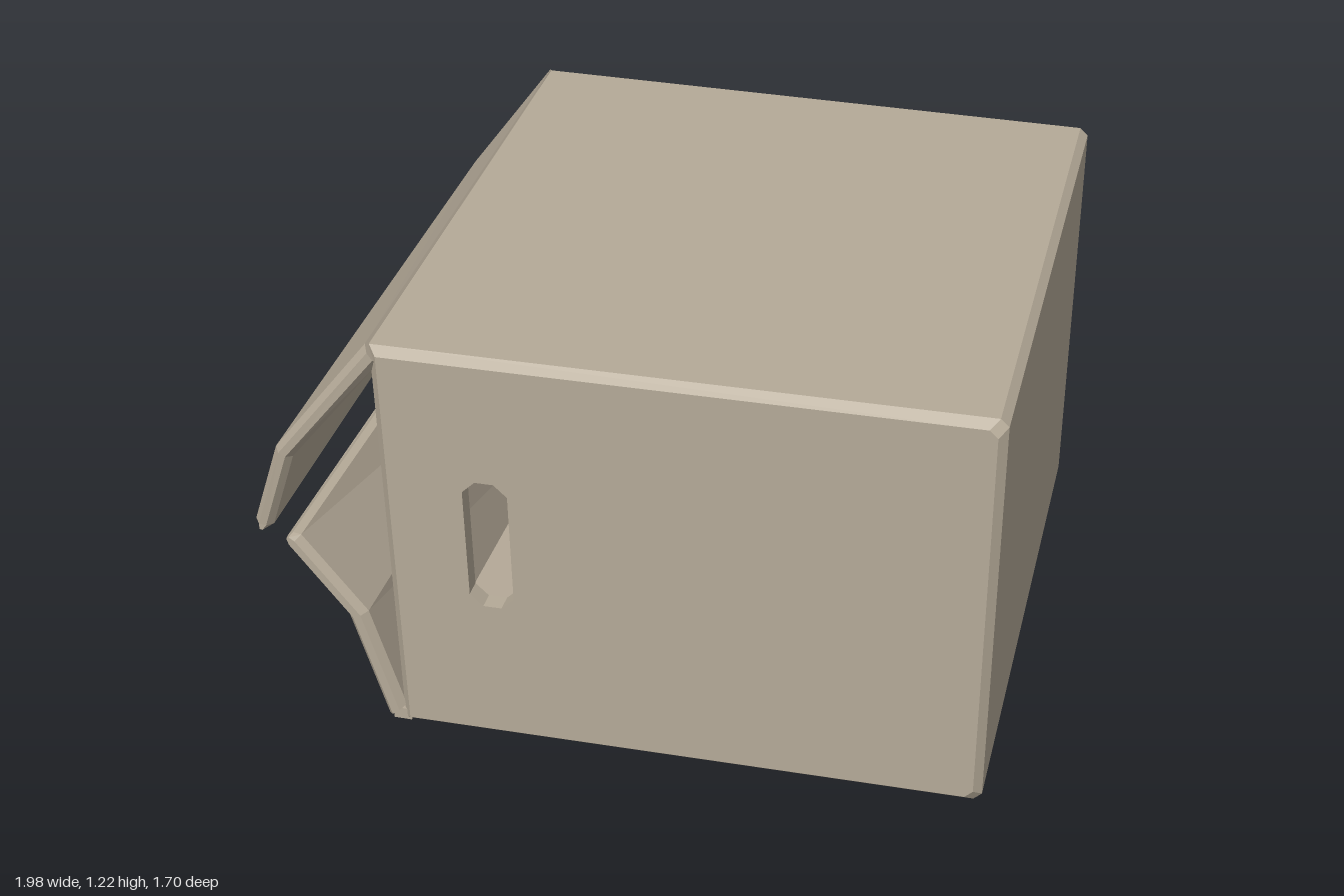
import * as THREE from 'three';

const RIGHT = 0.99, OPEN = -0.61, TOP = 1.22, DEPTH = 0.84, WALL = 0.05, BEVEL = 0.022;
const lerp = THREE.MathUtils.lerp;

const material = new THREE.MeshStandardMaterial({
  color: 0xb5aa98, flatShading: true, side: THREE.DoubleSide,
});

function addMesh(parent, name, geometry) {
  const mesh = new THREE.Mesh(geometry, material);
  mesh.name = name;
  parent.add(mesh);
}

function polygon(points, Type = THREE.Shape) {
  return new Type(points.map(([x, y]) => new THREE.Vector2(x, y)));
}

// Slight hand-made skew: the box widens and sags towards its open end.
function warp(geometry) {
  const p = geometry.attributes.position;
  for (let i = 0; i < p.count; i++) {
    const x = p.getX(i), y = p.getY(i), z = p.getZ(i);
    const t = (RIGHT - x) / (RIGHT - OPEN);
    const front = (z / DEPTH + 1) / 2;
    const bottom = lerp(0.03 - 0.03 * t, 0.032, front);
    const left = lerp(-0.015, 0.015, 1 - y / TOP) * t;
    p.setXYZ(i, x + left, lerp(bottom, TOP, y / TOP),
      z > 0 ? z / DEPTH * (0.815 + 0.03 * t) : z / DEPTH * (0.84 + 0.01 * t));
  }
  geometry.computeVertexNormals();
  return geometry;
}

// Top, bottom and closed end as one C-shaped band.
function shellGeometry() {
  const shape = polygon([
    [OPEN, 0], [RIGHT - BEVEL, 0], [RIGHT, BEVEL], [RIGHT, TOP - BEVEL], [RIGHT - BEVEL, TOP], [OPEN, TOP],
    [OPEN, TOP - WALL], [RIGHT - WALL, TOP - WALL], [RIGHT - WALL, WALL], [OPEN, WALL],
  ]);
  const depth = 2 * (DEPTH - WALL);
  return warp(new THREE.ExtrudeGeometry(shape, { depth, bevelEnabled: false }).translate(0, 0, -depth / 2));
}

// Side wall with a hand slot; its outer rim is chamfered.
function wallGeometry(side) {
  const shape = polygon([
    [OPEN, 0], [RIGHT - BEVEL, 0], [RIGHT, BEVEL], [RIGHT, TOP - BEVEL], [RIGHT - BEVEL, TOP], [OPEN, TOP],
  ]);
  const cx = side > 0 ? -0.328 : -0.308, cy = 0.645, w = 0.06, h = 0.2, c = 0.035;
  shape.holes.push(polygon([
    [cx - w, cy - h + c], [cx - w, cy + h - c], [cx - w + c, cy + h], [cx + w - c, cy + h],
    [cx + w, cy + h - c], [cx + w, cy - h + c], [cx + w - c, cy - h], [cx - w + c, cy - h],
  ], THREE.Path));
  const g = new THREE.ExtrudeGeometry(shape, { depth: WALL, steps: 2, bevelEnabled: false });
  g.translate(0, 0, side > 0 ? DEPTH - WALL : -DEPTH);
  const p = g.attributes.position;
  for (let i = 0; i < p.count; i++) {
    const x = p.getX(i), y = p.getY(i);
    const inSlot = Math.abs(x - cx) < 0.1 && Math.abs(y - cy) < 0.25;
    if (inSlot || Math.abs(p.getZ(i)) < DEPTH - 0.001) continue;
    p.setX(i, x - Math.sign(x - 0.2) * BEVEL);
    p.setY(i, y - Math.sign(y - 0.6) * BEVEL);
  }
  return warp(g);
}

// Bent flap lofted from a front to a back section, chamfered at tip and ends.
// Each section lists outer and inner points from the hinge to the tip.
function flapGeometry(front, back, tipZ, flip) {
  const section = ({ outer, inner }) => {
    const pairs = outer.map((o, k) => [new THREE.Vector2(...o), new THREE.Vector2(...inner[k])]);
    const [o1, i1] = pairs[1], [o2, i2] = pairs[2];
    const dir = o2.clone().add(i2).sub(o1).sub(i1).normalize().multiplyScalar(0.018);
    pairs[2] = [o2.clone().sub(dir), i2.clone().sub(dir)];
    pairs.push([o2.clone().lerp(i2, 0.3), i2.clone().lerp(o2, 0.3)]);
    return pairs;
  };
  const f = section(front), b = section(back), count = f.length, n = 2 * count;
  const rings = [[0, 0.3], [0.012, 0], [0.988, 0], [1, 0.3]];
  const positions = [], index = [];
  for (const [t, inset] of rings) {
    const pairs = f.map(([fo, fi], k) => {
      const o = fo.clone().lerp(b[k][0], t), i = fi.clone().lerp(b[k][1], t);
      return [o.clone().lerp(i, inset), i.clone().lerp(o, inset)];
    });
    const loop = [...pairs.map((q) => q[0]), ...pairs.map((q) => q[1]).reverse()];
    loop.forEach((v, j) => {
      const k = Math.min(j, n - 1 - j);
      positions.push(v.x, v.y, lerp(lerp(0.842, tipZ, Math.min(k, 2) / 2), -0.85, t));
    });
  }
  const quad = (a, c, d, e) => index.push(...(flip ? [a, d, c, a, e, d] : [a, c, d, a, d, e]));
  for (let r = 0; r < rings.length - 1; r++) {
    for (let j = 0; j < n; j++) {
      const m = (j + 1) % n, s = r * n;
      quad(s + j, s + n + j, s + n + m, s + m);
    }
  }
  const last = (rings.length - 1) * n;
  for (let k = 0; k < count - 1; k++) {
    quad(k, k + 1, n - 2 - k, n - 1 - k);
    quad(last + k, last + n - 1 - k, last + n - 2 - k, last + k + 1);
  }
  const g = new THREE.BufferGeometry();
  g.setAttribute('position', new THREE.Float32BufferAttribute(positions, 3));
  g.setIndex(index);
  const flat = g.toNonIndexed();
  flat.computeVertexNormals();
  return flat;
}

export function createModel() {
  const box = new THREE.Group();
  box.name = 'openBox';
  addMesh(box, 'shell', shellGeometry());
  addMesh(box, 'frontWall', wallGeometry(1));
  addMesh(box, 'backWall', wallGeometry(-1));
  addMesh(box, 'upperFlap', flapGeometry(
    { outer: [[-0.635, 1.22], [-0.91, 0.86], [-1.0, 0.59]], inner: [[-0.6, 1.17], [-0.865, 0.835], [-0.95, 0.58]] },
    { outer: [[-0.63, 1.22], [-0.88, 0.88], [-0.97, 0.61]], inner: [[-0.6, 1.17], [-0.825, 0.86], [-0.92, 0.61]] },
    0.807, false));
  addMesh(box, 'lowerFlap', flapGeometry(
    { outer: [[-0.64, 0.04], [-0.735, 0.36], [-0.905, 0.58]], inner: [[-0.59, 0.08], [-0.68, 0.38], [-0.865, 0.615]] },
    { outer: [[-0.61, 0.003], [-0.68, 0.36], [-0.84, 0.62]], inner: [[-0.57, 0.05], [-0.635, 0.37], [-0.785, 0.655]] },
    0.845, true));
  // Sliver that closes the hinge between the floor and the lower flap.
  const hinge = new THREE.BoxGeometry(0.05, 0.035, 1.66).translate(-0.6, 0.05, 0);
  const p = hinge.attributes.position;
  for (let i = 0; i < p.count; i++) if (p.getZ(i) < 0) p.setY(i, p.getY(i) - 0.028);
  addMesh(box, 'lowerHinge', hinge);
  return box;
}
